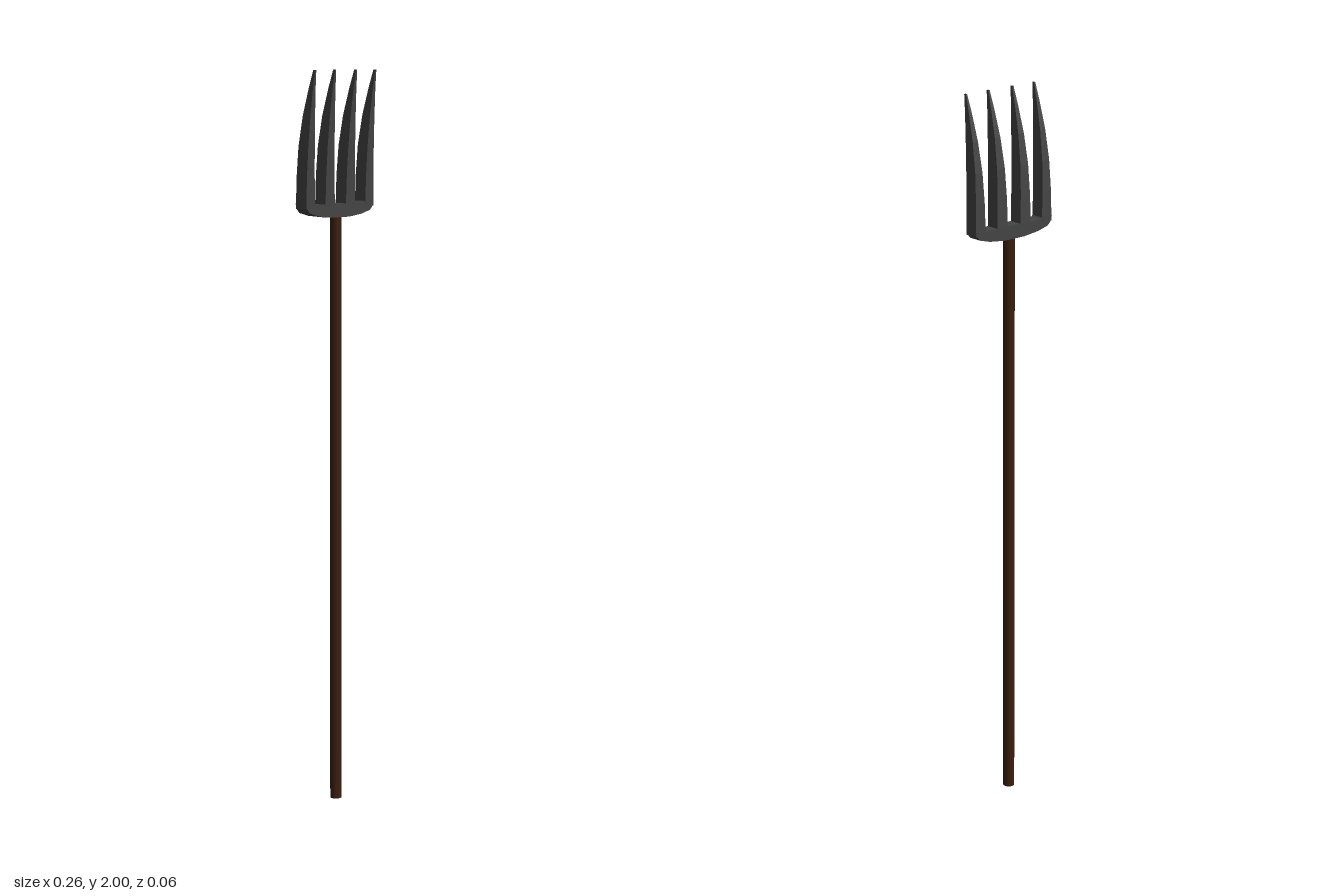
import * as THREE from 'three';

const iron = new THREE.MeshStandardMaterial({ color: 0x444444, flatShading: true });
const wood = new THREE.MeshStandardMaterial({ color: 0x3a1e0e });

// Tine rings: height, back z, front z, width fraction (0 = tip, 1 = base)
const RINGS = [
  [1.635, -0.03, 0.008, 1],
  [1.72, -0.029, 0.009, 0.87],
  [1.8, -0.024, 0.012, 0.72],
  [1.88, -0.011, 0.017, 0.52],
  [1.95, 0.007, 0.023, 0.3],
  [2.0, 0.022, 0.029, 0.12],
];

// Curved four-sided spike, lofted through the rings
function tineGeometry(baseX, tipX, width) {
  const pos = [], index = [];
  RINGS.forEach(([y, back, front, f]) => {
    const x = THREE.MathUtils.lerp(tipX, baseX, f), h = (width * f) / 2;
    pos.push(x - h, y, front, x + h, y, front, x + h, y, back, x - h, y, back);
  });
  for (let r = 0; r < RINGS.length - 1; r++) {
    for (let i = 0; i < 4; i++) {
      const a = r * 4 + i, b = r * 4 + ((i + 1) % 4);
      index.push(a, b, b + 4, a, b + 4, a + 4);
    }
  }
  const t = (RINGS.length - 1) * 4;
  index.push(t, t + 1, t + 2, t, t + 2, t + 3, 0, 2, 1, 0, 3, 2);
  const geo = new THREE.BufferGeometry();
  geo.setAttribute('position', new THREE.Float32BufferAttribute(pos, 3));
  geo.setIndex(index);
  geo.computeVertexNormals();
  return geo;
}

export function createModel() {
  const model = new THREE.Group();
  const add = (name, geo, mat) => {
    const mesh = new THREE.Mesh(geo, mat);
    mesh.name = name;
    model.add(mesh);
    return mesh;
  };

  // Long round handle
  add('handle', new THREE.CylinderGeometry(0.016, 0.016, 1.625, 12), wood)
    .position.set(0, 0.8125, -0.009);

  // Crossbar with bowed underside and bevelled corners
  const half = [[0.035, 1.609], [0.085, 1.615], [0.118, 1.624], [0.13, 1.637], [0.132, 1.65], [0.1, 1.65], [0.094, 1.645]];
  const outline = [...half, ...half.map(([x, y]) => [-x, y]).reverse()];
  const bar = new THREE.ExtrudeGeometry(
    new THREE.Shape(outline.map(([x, y]) => new THREE.Vector2(x, y))),
    { depth: 0.039, bevelEnabled: false },
  );
  bar.translate(0, 0, -0.031);
  add('crossbar', bar, iron);

  // Mirrored outer and inner tines
  for (const [side, s] of [['left', 1], ['right', -1]]) {
    add(side + 'OuterTine', tineGeometry(s * 0.115, s * 0.117, 0.034), iron);
    add(side + 'InnerTine', tineGeometry(s * 0.04, s * 0.041, 0.037), iron);
  }
  return model;
}
